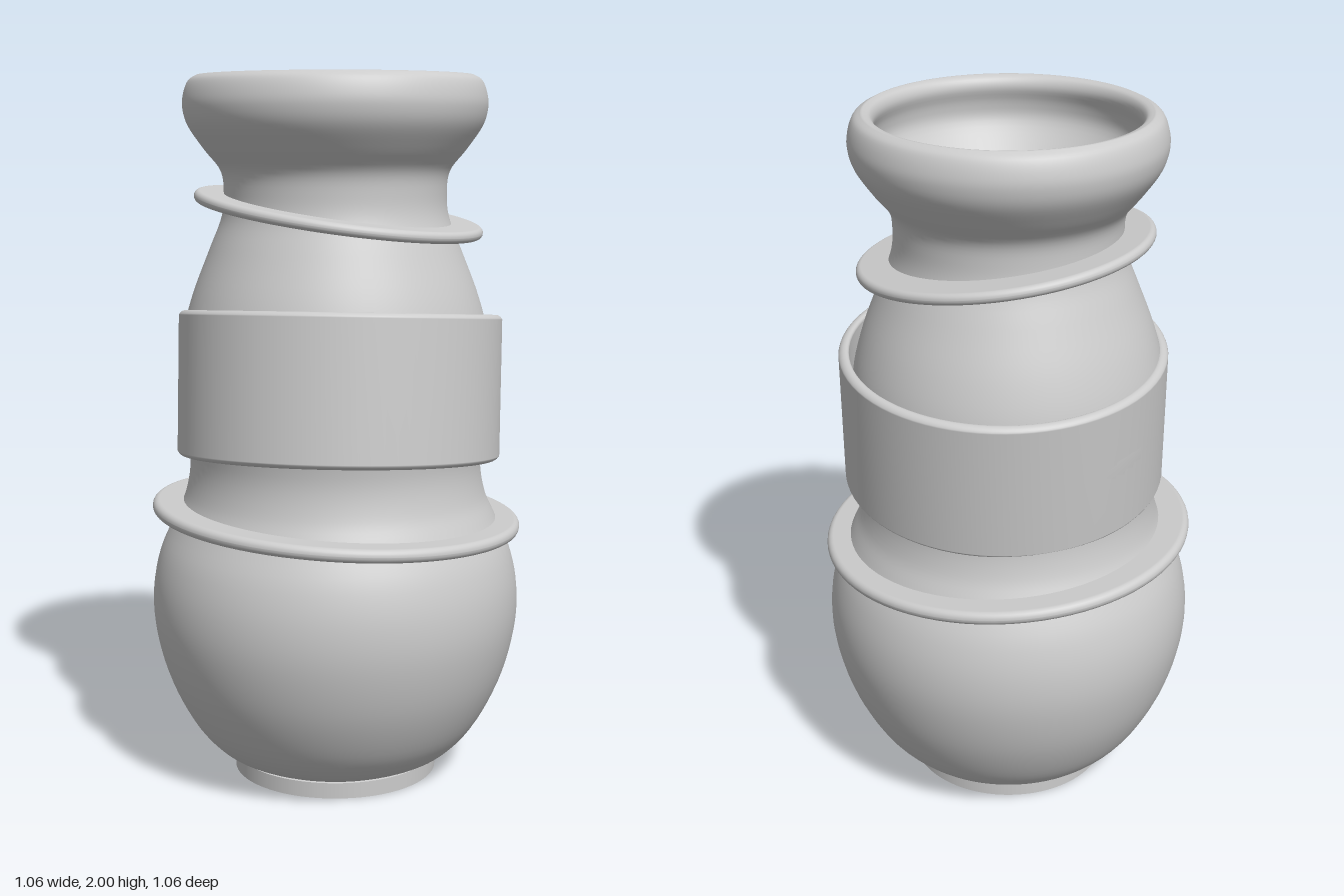
import * as THREE from 'three';

const SEGMENTS = 80;
const material = new THREE.MeshStandardMaterial({ color: 0xcccccc, side: THREE.DoubleSide });
const points = (list) => list.map(([r, y]) => new THREE.Vector2(r, y));
// Smooth run of profile points through a few [radius, height] pairs
const smooth = (list, n) => new THREE.SplineCurve(points(list)).getPoints(n);

function turned(name, profile) {
  const mesh = new THREE.Mesh(new THREE.LatheGeometry(profile, SEGMENTS), material);
  mesh.name = name;
  return mesh;
}

// Rounded-rectangle cross-section between two radii, centred on y = 0
function bandProfile(inner, outer, height, round) {
  const h = height / 2;
  const corners = [
    [outer - round, -h + round, -Math.PI / 2],
    [outer - round, h - round, 0],
    [inner + round, h - round, Math.PI / 2],
    [inner + round, -h + round, Math.PI],
  ];
  const profile = [];
  for (const [r, y, start] of corners) {
    for (let i = 0; i <= 6; i++) {
      const a = start + (i / 6) * Math.PI / 2;
      profile.push(new THREE.Vector2(r + Math.cos(a) * round, y + Math.sin(a) * round));
    }
  }
  profile.push(profile[0].clone());
  return profile;
}

// Loose band around the body, leaning a little
function looseBand(name, profile, position, tiltX, tiltZ) {
  const mesh = turned(name, profile);
  mesh.position.set(...position);
  mesh.rotation.set(tiltX, 0, tiltZ);
  return mesh;
}

export function createModel() {
  const model = new THREE.Group();
  model.name = 'vase';

  // Foot with a shallow recess underneath
  model.add(turned('foot', points([
    [0, 0.012], [0.21, 0.008], [0.215, 0], [0.215, 0], [0.295, 0], [0.295, 0], [0.295, 0.045], [0.295, 0.045], [0.27, 0.05],
  ])));

  // Outer wall, rolled lip and inner wall
  const outerWall = smooth([
    [0.285, 0.045], [0.35, 0.08], [0.42, 0.16], [0.485, 0.29], [0.522, 0.43], [0.527, 0.55], [0.505, 0.66],
    [0.46, 0.76], [0.43, 0.83], [0.417, 0.92], [0.43, 1.03], [0.44, 1.15], [0.435, 1.27], [0.405, 1.39],
    [0.355, 1.52], [0.32, 1.61], [0.313, 1.68], [0.322, 1.74], [0.365, 1.795], [0.41, 1.86], [0.425, 1.91],
    [0.422, 1.95], [0.408, 1.985], [0.385, 2.0],
  ], 110);
  const innerWall = smooth([
    [0.385, 2.0], [0.363, 1.992], [0.354, 1.965], [0.367, 1.92], [0.365, 1.87], [0.32, 1.8], [0.278, 1.74],
    [0.264, 1.67], [0.28, 1.59], [0.315, 1.5], [0.365, 1.37], [0.392, 1.25], [0.395, 1.12], [0.375, 0.92],
    [0.42, 0.74], [0.478, 0.58], [0.475, 0.43], [0.44, 0.29], [0.38, 0.18], [0.3, 0.105], [0.215, 0.075],
  ], 90);
  model.add(turned('body', [...outerWall, ...innerWall.slice(1)]));

  // Inside floor with a small dimple in the middle
  model.add(turned('floor', points([
    [0.215, 0.075], [0.12, 0.068], [0.022, 0.065], [0.022, 0.065], [0.012, 0.05], [0, 0.045],
  ])));

  // Thin collars and the wide open sleeve between them
  model.add(looseBand('lowerCollar', bandProfile(0.41, 0.53, 0.038, 0.0185), [0.003, 0.762, 0], -0.02, -0.057));
  model.add(looseBand('sleeve', bandProfile(0.437, 0.466, 0.41, 0.0135)
    .map((p) => {
      // Ease the ends inwards for softly rounded shoulders
      const t = Math.max(0, (Math.abs(p.y) - 0.145) / 0.06);
      return new THREE.Vector2(p.x - 0.012 * t * t, p.y);
    }), [0.018, 1.135, 0.01], -0.1, 0.03));
  model.add(looseBand('upperCollar', bandProfile(0.29, 0.41, 0.032, 0.0155), [0.005, 1.62, -0.012], 0, -0.147));

  return model;
}
